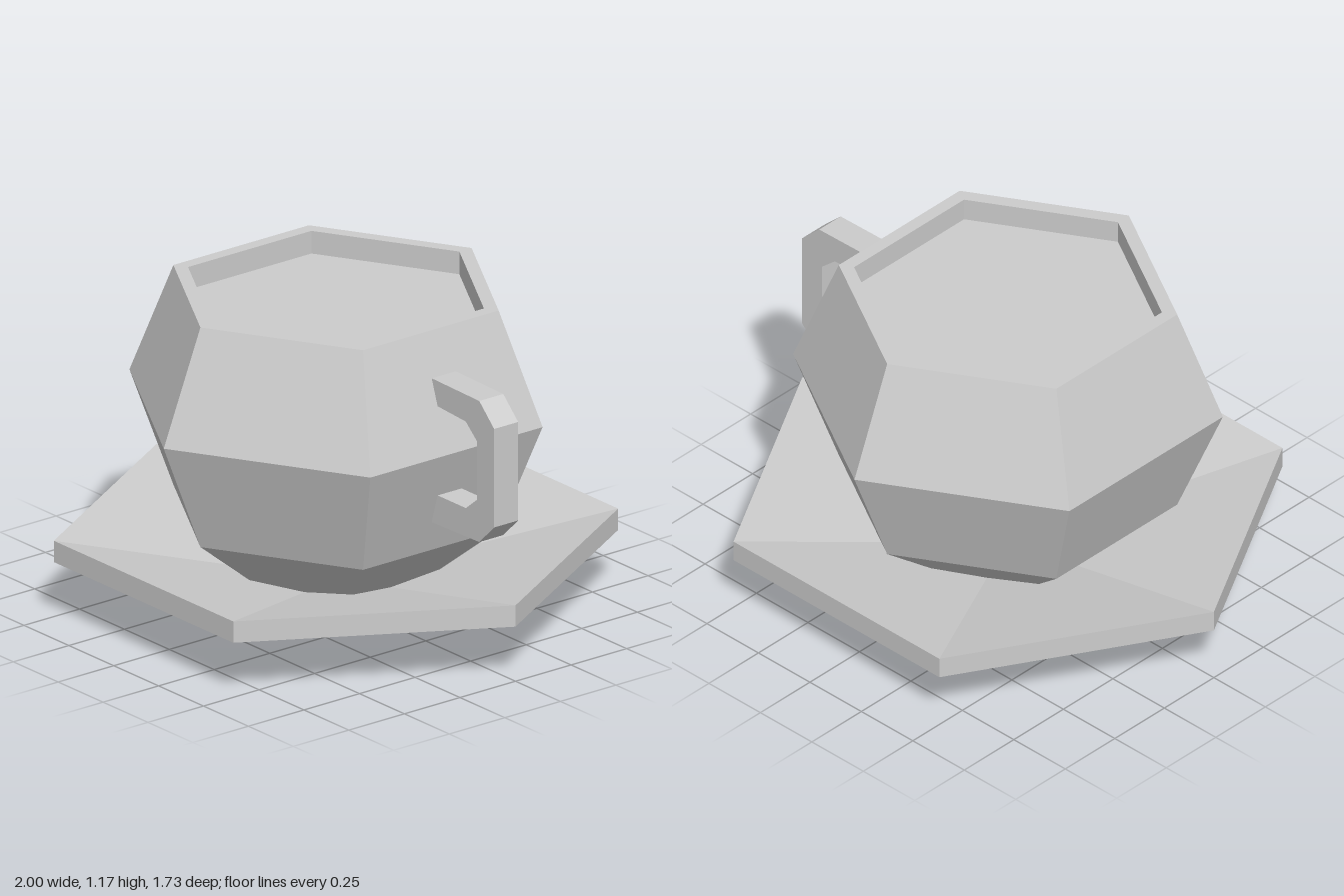
import * as THREE from 'three';

const material = new THREE.MeshStandardMaterial({ color: 0xcccccc, flatShading: true });

const points = (list) => list.map(([x, y]) => new THREE.Vector2(x, y));

function addMesh(group, name, geometry) {
  const mesh = new THREE.Mesh(geometry, material);
  mesh.name = name;
  group.add(mesh);
  return mesh;
}

// Six-sided turned form; profile runs from the bottom, up the outside, then inwards.
const hexLathe = (profile, start = 0) => new THREE.LatheGeometry(points(profile), 6, start);

export function createModel() {
  const model = new THREE.Group();
  model.name = 'cupAndSaucer';

  // Saucer: shallow hexagonal dish with corners on the x axis
  addMesh(model, 'saucer', hexLathe([
    [0, 0], [1, 0.205], [1, 0.285], [0, 0.08],
  ], Math.PI / 6));

  // Cup: faceted bowl with corners on the z axis, and a recessed rim
  const fill = 1.09;
  const innerRadius = 0.555;
  addMesh(model, 'cup', hexLathe([
    [0, 0.1], [0.3, 0.1], [0.61, 0.35], [0.775, 0.76],
    [0.61, 1.175], [innerRadius, 1.175], [innerRadius, fill],
  ]));

  // Drink surface inside the rim
  const drink = addMesh(model, 'drink', new THREE.CircleGeometry(innerRadius, 6, Math.PI / 2));
  drink.rotation.x = -Math.PI / 2;
  drink.position.y = fill;

  // Handle: chamfered bracket on the left side, with slanted ends against the cup
  const bracket = new THREE.Shape(points([
    [0.6, 0.49], [0.865, 0.495], [0.948, 0.575], [0.948, 0.945], [0.865, 1.025], [0.6, 1.03],
    [0.633, 0.935], [0.79, 0.925], [0.852, 0.87], [0.852, 0.65], [0.79, 0.6], [0.633, 0.6],
  ]));
  const width = 0.108;
  const handle = new THREE.ExtrudeGeometry(bracket, { depth: width, bevelEnabled: false });
  handle.translate(0, 0, -width / 2);
  addMesh(model, 'handle', handle);

  return model;
}
